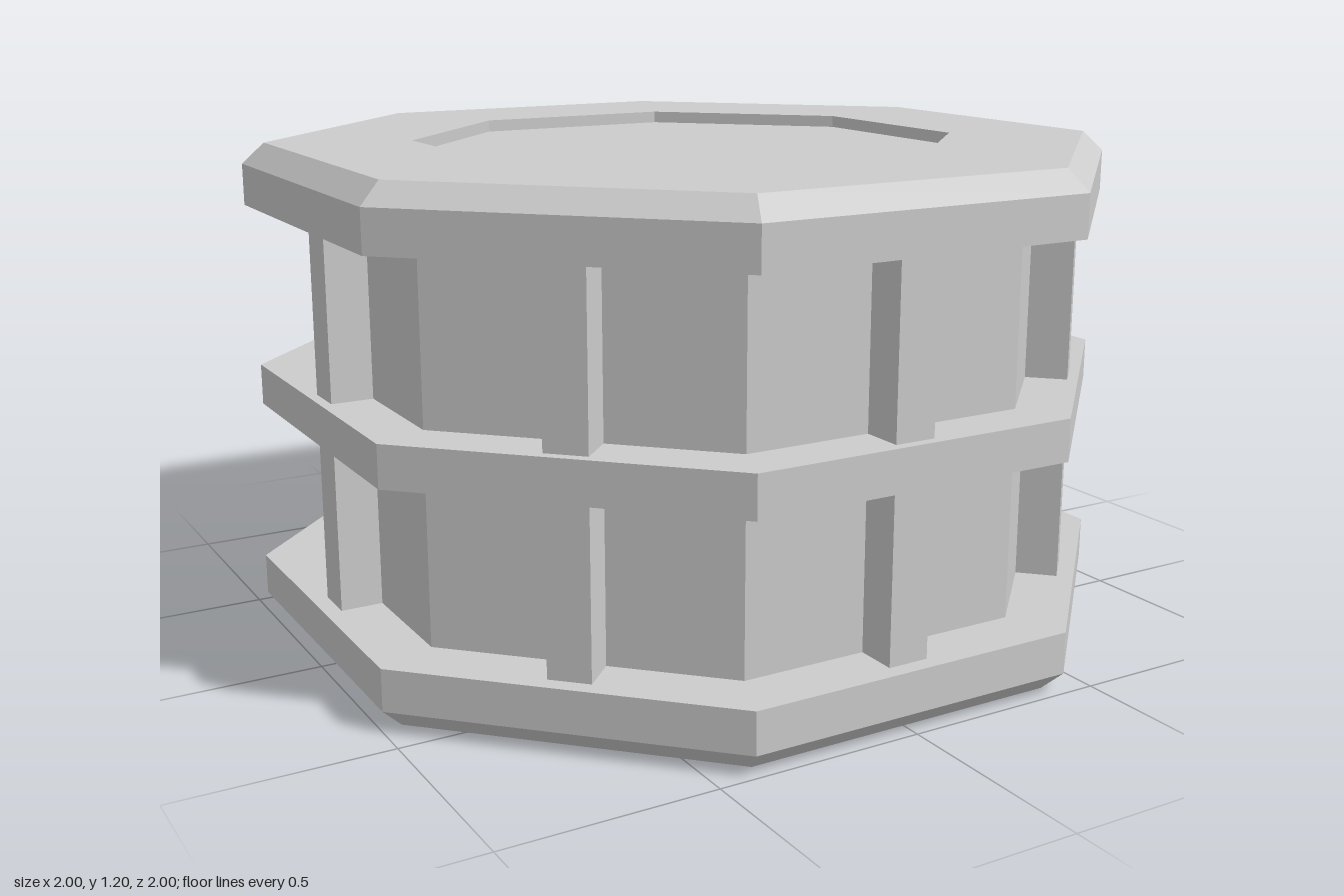
import * as THREE from 'three';

const SIDES = 8;
const HEIGHT = 1.2;
const CORE = 0.86; // distance from axis to the core's flat faces

export function createModel() {
  const model = new THREE.Group();
  model.name = 'octagonalDrum';
  const material = new THREE.MeshStandardMaterial({ color: 0xcccccc, flatShading: true });

  // Octagonal ring from a profile of [apothem, y] points, bottom to top, flat faces towards the axes
  function octagon(name, profile) {
    const toCorner = 1 / Math.cos(Math.PI / SIDES);
    const points = profile.map(([a, y]) => new THREE.Vector2(a * toCorner, y));
    const mesh = new THREE.Mesh(new THREE.LatheGeometry(points, SIDES, Math.PI / SIDES), material);
    mesh.name = name;
    model.add(mesh);
  }

  // Chamfered end plates with a shallow octagonal recess
  const plate = [[0, 0.03], [0.623, 0.03], [0.623, 0], [0.95, 0], [1, 0.05], [1, 0.15], [CORE - 0.02, 0.15]];
  octagon('bottomPlate', plate);
  octagon('topPlate', plate.map(([a, y]) => [a, HEIGHT - y]).reverse());

  // Core wall and middle band
  octagon('core', [[CORE, 0.15], [CORE, 1.05]]);
  octagon('middleBand', [[CORE - 0.02, 0.55], [0.985, 0.55], [0.985, 0.65], [CORE - 0.02, 0.65]]);

  // Upright ribs centred on each face, in two tiers
  const ribGeometry = new THREE.BoxGeometry(0.1, 0.4, 0.1);
  const ribs = new THREE.Group();
  ribs.name = 'ribs';
  model.add(ribs);
  for (const y of [0.35, 0.85]) {
    for (let i = 0; i < SIDES; i++) {
      const angle = (i / SIDES) * Math.PI * 2;
      const rib = new THREE.Mesh(ribGeometry, material);
      rib.name = 'rib';
      rib.position.set(Math.sin(angle) * (CORE + 0.05), y, Math.cos(angle) * (CORE + 0.05));
      rib.rotation.y = angle;
      ribs.add(rib);
    }
  }
  return model;
}
